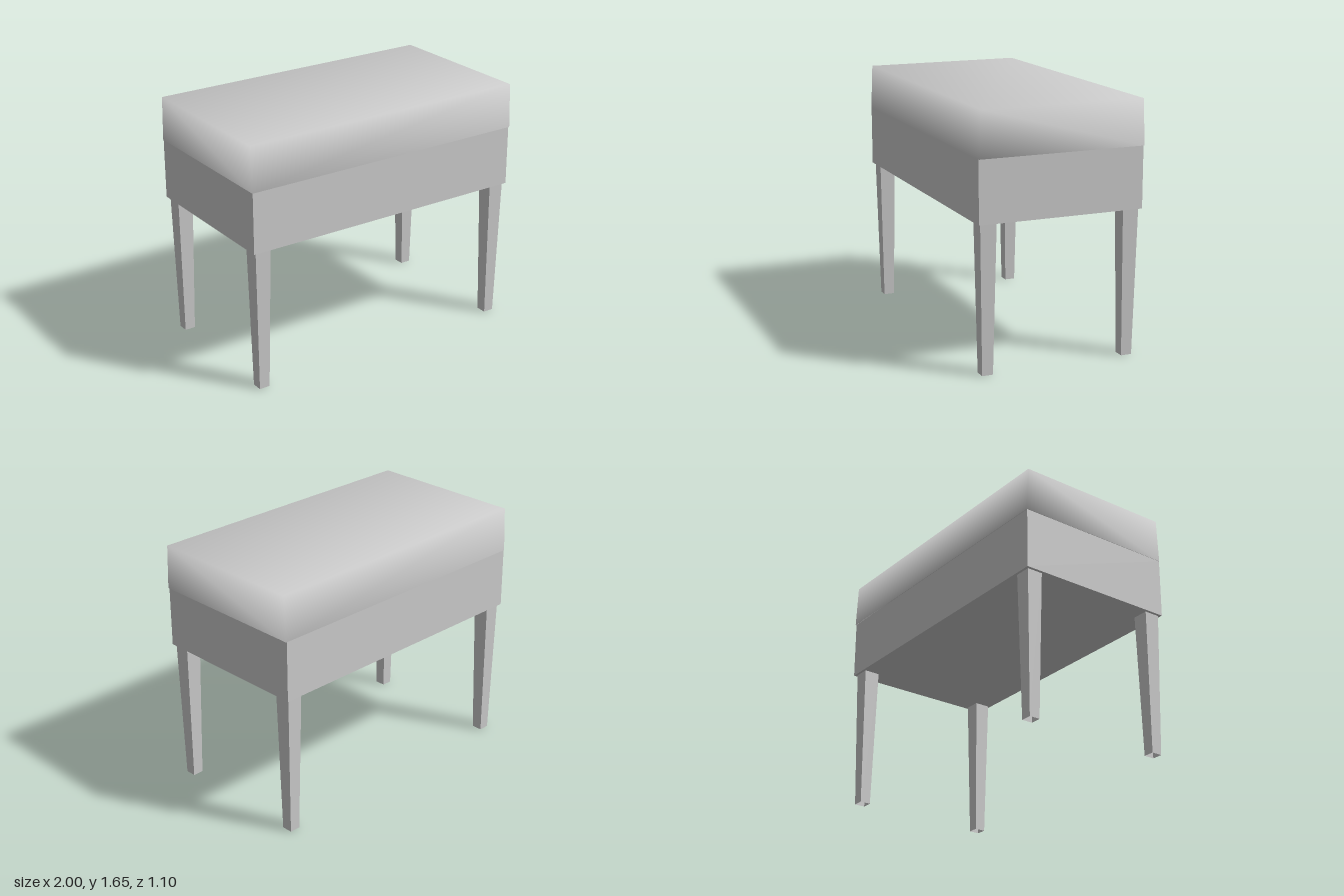
import * as THREE from 'three';

const grey = new THREE.MeshStandardMaterial({ color: 0xcccccc, side: THREE.DoubleSide });
const greyFlat = new THREE.MeshStandardMaterial({ color: 0xcccccc, side: THREE.DoubleSide, flatShading: true });

// Softly shaded cushion: two rectangular sections sharing corners, open below
function cushionGeometry(bottom, top) {
  const ring = ({ x, y, z }) => [[x, y, z], [x, y, -z], [-x, y, -z], [-x, y, z]];
  const points = [...ring(bottom), ...ring(top)];
  const index = [];
  for (let i = 0; i < 4; i++) {
    const j = (i + 1) % 4;
    // the dividing diagonal alternates from side to side
    if (i % 2 === 0) index.push(i, j, i + 4, j, j + 4, i + 4);
    else index.push(i, j, j + 4, i, j + 4, i + 4);
  }
  index.push(4, 5, 6, 4, 6, 7);
  const geometry = new THREE.BufferGeometry();
  geometry.setAttribute('position', new THREE.Float32BufferAttribute(points.flat(), 3));
  geometry.setIndex(index);
  geometry.computeVertexNormals();
  return geometry;
}

export function createModel() {
  const group = new THREE.Group();
  group.name = 'stool';

  const add = (name, geometry, material, x, y, z) => {
    const mesh = new THREE.Mesh(geometry, material);
    mesh.name = name;
    mesh.position.set(x, y, z);
    group.add(mesh);
  };

  // Upholstered top
  add('cushion', cushionGeometry({ x: 1, y: 1.36, z: 0.55 }, { x: 1, y: 1.655, z: 0.537 }), grey, 0, 0, 0);

  // Box-shaped apron
  const low = 0.96, high = 1.36;
  add('apron', new THREE.BoxGeometry(1.99, high - low, 1.097), greyFlat, -0.003, (low + high) / 2, 0.001);

  // Four square tapered legs, open at the foot
  const legGeometry = new THREE.CylinderGeometry(0.107 / Math.SQRT2, 0.072 / Math.SQRT2, low, 4, 1, true);
  legGeometry.rotateY(Math.PI / 4);
  for (const [side, x] of [['left', 0.92], ['right', -0.925]]) {
    for (const [end, z] of [['Front', 0.48], ['Back', -0.477]]) {
      add(`${side}${end}Leg`, legGeometry, greyFlat, x, low / 2, z);
    }
  }
  return group;
}
